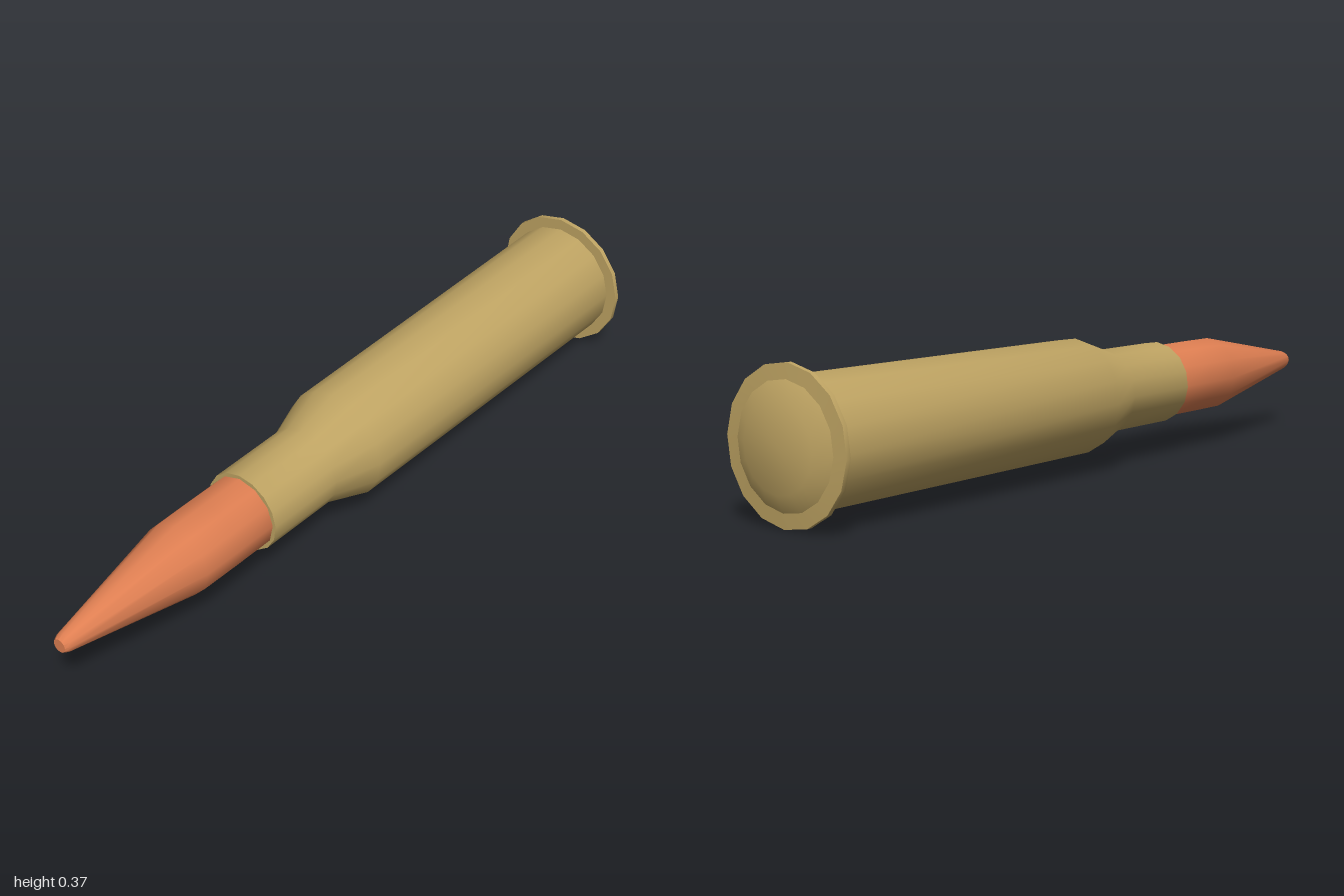
import * as THREE from 'three';
import { toCreasedNormals } from 'three/addons/utils/BufferGeometryUtils.js';

const AXIS_HEIGHT = 0.187;

// Turns a [radius, z] profile, listed from back to front, around the long axis.
function turned(name, profile, sides, phase, color) {
  const points = profile.map(([r, z]) => new THREE.Vector2(r, z));
  const geometry = new THREE.LatheGeometry(points, sides, phase);
  geometry.rotateX(Math.PI / 2);
  const material = new THREE.MeshStandardMaterial({ color, side: THREE.DoubleSide });
  const mesh = new THREE.Mesh(toCreasedNormals(geometry, 0.6), material);
  mesh.name = name;
  mesh.position.y = AXIS_HEIGHT;
  return mesh;
}

export function createModel() {
  const group = new THREE.Group();
  group.name = 'cartridge';
  const brass = 0xbfa463;
  const copper = 0xdf7f52;

  // Bevelled base, closed at the back
  group.add(turned('base', [[0, -1], [0.107, -1], [0.155, -0.975]], 16, 0.05, brass));

  // Thin rim flange
  group.add(turned('rim', [[0.15, -0.978], [0.187, -0.975], [0.187, -0.962], [0.15, -0.962]], 16, 0.05, brass));

  // Tapered body, shoulder, neck and the neck's lip
  group.add(turned('case', [
    [0.157, -0.965], [0.148, 0.03], [0.108, 0.15], [0.107, 0.38], [0.094, 0.38],
  ], 16, 0.05, brass));

  // Pointed bullet with a small blunt tip
  group.add(turned('bullet', [
    [0.098, 0.36], [0.098, 0.5], [0.097, 0.61], [0.025, 0.985], [0.018, 1], [0, 1],
  ], 12, 0.05, copper));

  return group;
}
